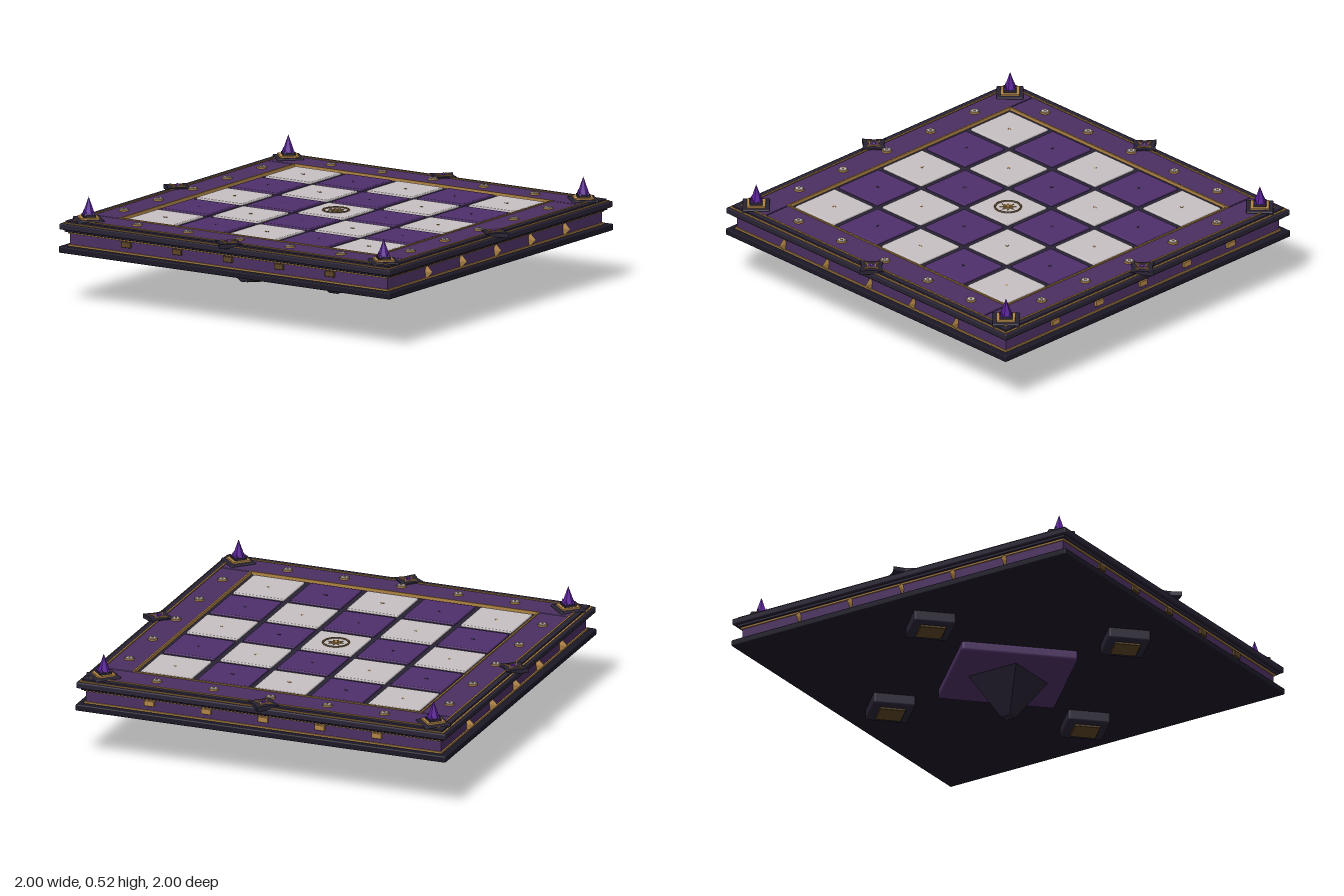
import * as THREE from 'three';
import { RoundedBoxGeometry } from 'three/addons/geometries/RoundedBoxGeometry.js';

const mat = (color, flatShading = false) => new THREE.MeshStandardMaterial({ color, flatShading });
const M = {
  dark: mat(0x282334), black: mat(0x1c1826), purple: mat(0x4a2f60), tile: mat(0x4e2f6a),
  light: mat(0xc8c0c2), gold: mat(0xb08445), crystal: mat(0x5a1f9a, true), dim: mat(0x5c4526), rose: mat(0x9a7080),
  spike: mat(0x282334, true),
};

function add(parent, name, geo, material, x = 0, y = 0, z = 0, ry = 0) {
  const m = new THREE.Mesh(geo, material);
  m.name = name;
  m.position.set(x, y, z);
  m.rotation.y = ry;
  parent.add(m);
  return m;
}

// box given by its bottom and top heights
const slab = (parent, name, w, y0, y1, d, material, x = 0, z = 0, ry = 0, r = 0.006) =>
  add(parent, name, r ? new RoundedBoxGeometry(w, y1 - y0, d, 2, r) : new THREE.BoxGeometry(w, y1 - y0, d),
    material, x, (y0 + y1) / 2, z, ry);

function polygon(points, Type = THREE.Shape) {
  return new Type(points.map(([x, y]) => new THREE.Vector2(x, y)));
}
const squarePts = (h) => [[-h, -h], [h, -h], [h, h], [-h, h]];

// flat extrusion lying in the ground plane, base at y = 0
function flat(shape, height) {
  return new THREE.ExtrudeGeometry(shape, { depth: height, bevelEnabled: false }).rotateX(-Math.PI / 2);
}
function squareRing(outer, inner, height) {
  const s = polygon(squarePts(outer));
  s.holes.push(polygon(squarePts(inner), THREE.Path));
  return flat(s, height);
}
function star(points, outer, inner, height, hole = 0) {
  const ring = (k) => Array.from({ length: points * 2 }, (_, i) => {
    const r = (i % 2 ? inner : outer) * k, a = (i * Math.PI) / points;
    return [r * Math.cos(a), r * Math.sin(a)];
  });
  const s = polygon(ring(1));
  if (hole) s.holes.push(polygon(ring(hole), THREE.Path));
  return flat(s, height);
}

// gold-rimmed flower stud on the border
function stud() {
  const g = new THREE.Group();
  g.name = 'borderStud';
  add(g, 'studBase', new THREE.CylinderGeometry(0.024, 0.026, 0.008, 8), M.gold, 0, 0.004);
  add(g, 'studFlower', star(8, 0.022, 0.015, 0.004), M.light, 0, 0.007);
  add(g, 'studCentre', new THREE.CylinderGeometry(0.005, 0.007, 0.004, 8), M.gold, 0, 0.012);
  return g;
}

// diamond plinth with a crystal
function cornerFinial() {
  const g = new THREE.Group();
  g.name = 'cornerFinial';
  const q = Math.PI / 4;
  slab(g, 'finialBase', 0.13, 0.39, 0.414, 0.13, M.dark, 0, 0, q);
  slab(g, 'finialGoldPlate', 0.092, 0.41, 0.423, 0.092, M.gold, 0, 0, q, 0.003);
  slab(g, 'finialSeat', 0.062, 0.42, 0.434, 0.062, M.dark, 0, 0, q, 0.003);
  add(g, 'crystal', new THREE.ConeGeometry(0.033, 0.095, 6), M.crystal, 0, 0.4725);
  for (let i = 0; i < 4; i++) {
    const a = i * Math.PI / 2;
    add(g, 'crystalShard', new THREE.ConeGeometry(0.01, 0.025, 5), M.crystal, 0.028 * Math.cos(a), 0.443, 0.028 * Math.sin(a));
  }
  return g;
}

// four-pointed ornament at the middle of each side
function sideOrnament() {
  const g = new THREE.Group();
  g.name = 'sideOrnament';
  add(g, 'ornamentBase', star(4, 0.081, 0.049, 0.022), M.dark, 0, 0.39);
  add(g, 'ornamentGoldStar', star(4, 0.05, 0.021, 0.006, 0.76), M.gold, 0, 0.411);
  add(g, 'ornamentInlay', star(4, 0.038, 0.016, 0.004), M.tile, 0, 0.411);
  add(g, 'ornamentGem', new THREE.OctahedronGeometry(0.011), M.crystal, 0, 0.416);
  return g;
}

export function createModel() {
  const root = new THREE.Group();
  root.name = 'floatingCheckeredBoard';
  const pitch = 0.295, q = Math.PI / 4;

  // stacked body
  slab(root, 'lowerSlab', 1.92, 0.25, 0.282, 1.92, M.black);
  slab(root, 'core', 1.84, 0.28, 0.365, 1.84, M.purple, 0, 0, 0, 0);
  for (const y of [0.282, 0.344]) add(root, 'goldBand', squareRing(0.927, 0.91, 0.008), M.gold, 0, y);
  slab(root, 'upperSlab', 1.88, 0.352, 0.368, 1.88, M.dark, 0, 0, 0, 0.004);
  slab(root, 'topSlab', 1.915, 0.364, 0.394, 1.915, M.dark);
  add(root, 'rimStep', squareRing(0.935, 0.9, 0.018), M.dark, 0, 0.388);
  add(root, 'outerGoldLine', squareRing(0.945, 0.936, 0.008), M.gold, 0, 0.39);
  add(root, 'borderGoldLine', squareRing(0.908, 0.9, 0.02), M.gold, 0, 0.39);
  add(root, 'innerGoldLine', squareRing(0.75, 0.742, 0.018), M.gold, 0, 0.392);

  // purple border and its studs
  for (const s of [-1, 1]) {
    slab(root, 'longBorder', 1.8, 0.385, 0.406, 0.15, M.purple, 0, s * 0.825, 0, 0.003);
    slab(root, 'shortBorder', 0.15, 0.385, 0.406, 1.492, M.purple, s * 0.825, 0, 0, 0.003);
    for (let i = -2; i <= 2; i++) {
      for (const [x, z] of [[i * pitch, s * 0.83], [s * 0.83, i * pitch]]) {
        const b = stud();
        b.position.set(x, 0.405, z);
        root.add(b);
      }
      // blades on the left and right walls, plaques on front and back
      add(root, 'wallBlade', new THREE.OctahedronGeometry(0.038), M.gold, s * 0.922, 0.32, i * pitch).scale.z = 0.18;
      slab(root, 'wallPlaque', 0.052, 0.313, 0.341, 0.02, s > 0 ? M.dim : M.gold, i * pitch, s * 0.922, 0, 0.003);
    }
  }

  // checkered tiles
  for (let i = -2; i <= 2; i++) for (let j = -2; j <= 2; j++) {
    const x = i * pitch, z = j * pitch, isLight = (i + j) % 2 === 0;
    slab(root, isLight ? 'lightTile' : 'purpleTile', 0.265, 0.385, 0.404, 0.265, isLight ? M.light : M.tile, x, z, 0, 0.005);
    if (i || j) add(root, 'tilePip', star(4, 0.011, 0.004, 0.002), isLight ? M.gold : M.dark, x, 0.403, z);
  }

  // central emblem
  add(root, 'emblemRing', new THREE.TorusGeometry(0.062, 0.005, 8, 40).rotateX(Math.PI / 2), M.dim, 0, 0.405);
  add(root, 'emblemStar', star(8, 0.04, 0.018, 0.004, 0.6), M.gold, 0, 0.403);
  add(root, 'emblemCentre', new THREE.CylinderGeometry(0.01, 0.012, 0.006, 12), M.gold, 0, 0.406);

  // corner finials and side ornaments
  for (const x of [-0.855, 0.855]) for (const z of [-0.855, 0.855]) {
    const f = cornerFinial();
    f.position.set(x, 0, z);
    root.add(f);
  }
  for (let i = 0; i < 4; i++) {
    const a = i * Math.PI / 2, c = Math.cos(a), s = Math.sin(a);
    const o = sideOrnament();
    o.position.set(0.919 * c, 0, 0.919 * s);
    root.add(o);
    // feet turned to a diamond
    slab(root, 'foot', 0.207, 0.195, 0.255, 0.207, M.dark, 0.675 * c, 0.675 * s, q, 0.012);
    slab(root, 'footPad', 0.125, 0.185, 0.2, 0.125, M.dim, 0.675 * c, 0.675 * s, q, 0.003);
  }

  // underside hub and tapering point
  slab(root, 'underPlate', 0.572, 0.2, 0.255, 0.572, M.purple, 0, 0, q, 0.016);
  add(root, 'underPoint', new THREE.CylinderGeometry(0.14 * Math.SQRT2, 0.025 * Math.SQRT2, 0.205, 4, 1).rotateY(q), M.spike, 0, 0.1025);
  return root;
}
